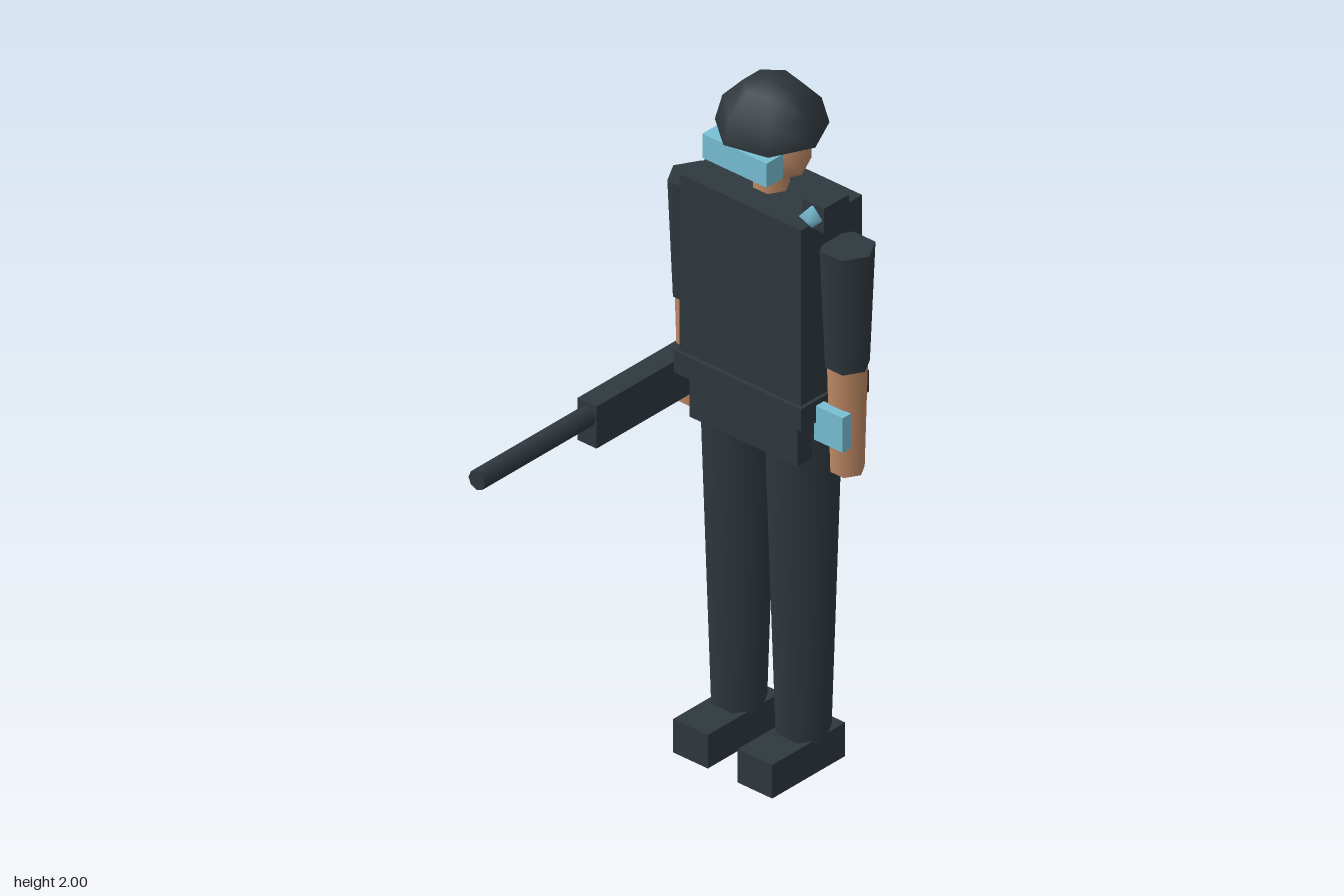
import * as THREE from 'three';

const Z = -0.345; // depth of the body's centre line

export function createModel() {
  const group = new THREE.Group();
  const makeMaterial = (name, color) => {
    const m = new THREE.MeshStandardMaterial({ color });
    m.name = name;
    return m;
  };
  const dark = makeMaterial('dark slate', 0x2f383e);
  const skin = makeMaterial('skin', 0xc08a65);
  const blue = makeMaterial('visor blue', 0x78bfd4);

  const add = (name, geometry, material, x = 0, y = 0, z = 0) => {
    const mesh = new THREE.Mesh(geometry, material);
    mesh.name = name;
    mesh.position.set(x, y, z);
    group.add(mesh);
    return mesh;
  };
  // Box given by its limits on each axis
  const box = (name, material, [x0, x1], [y0, y1], [z0, z1]) =>
    add(name, new THREE.BoxGeometry(x1 - x0, y1 - y0, z1 - z0), material,
      (x0 + x1) / 2, (y0 + y1) / 2, (z0 + z1) / 2);
  // Six-sided tapered limb with corners towards the sides
  const limb = (name, material, x, y0, y1, rBottom, rTop) =>
    add(name, new THREE.CylinderGeometry(rTop, rBottom, y1 - y0, 6).rotateY(Math.PI / 2),
      material, x, (y0 + y1) / 2, Z);
  // Coarse ball with a corner towards +x
  const ball = (r, sides, rings, arc = Math.PI) =>
    new THREE.SphereGeometry(r, sides, rings, 0, Math.PI * 2, 0, arc).rotateY(Math.PI);

  // Head, goggles and helmet
  limb('neck', skin, 0, 1.64, 1.74, 0.05, 0.05);
  add('head', ball(0.12, 7, 3), skin, 0, 1.81, Z);
  box('goggles', blue, [-0.11, 0.11], [1.778, 1.85], [-0.266, -0.204]);
  add('helmet', ball(0.15, 7, 3, Math.PI / 2), dark, 0, 1.85, Z);
  add('helmetBase', new THREE.CircleGeometry(0.15, 7).rotateX(Math.PI / 2), dark, 0, 1.85, Z);

  // Trunk
  box('torso', dark, [-0.207, 0.207], [1.1, 1.68], [-0.46, -0.226]);
  box('belt', dark, [-0.217, 0.217], [1.09, 1.155], [-0.475, -0.215]);
  box('pelvis', dark, [-0.184, 0.184], [0.96, 1.1], [-0.45, -0.238]);

  // Arms and legs
  for (const [side, s] of [['left', 1], ['right', -1]]) {
    limb(side + 'Sleeve', dark, s * 0.26, 1.25, 1.6, 0.06, 0.075);
    limb(side + 'Forearm', skin, s * 0.26, 0.936, 1.25, 0.046, 0.055);
    limb(side + 'Leg', dark, s * 0.11, 0.09, 1.03, 0.075, 0.105);
    box(side + 'Boot', dark, [s * 0.11 - 0.059, s * 0.11 + 0.059], [0, 0.1], [-0.438, -0.159]);
  }

  // Wrist pad on the left arm
  box('wristPad', blue, [0.21, 0.309], [1.037, 1.14], [-0.303, -0.272]);

  // Lamp on the left shoulder
  box('lampHousing', dark, [0.179, 0.252], [1.672, 1.745], [-0.36, -0.264]);
  add('lampLens', ball(0.034, 5, 2), blue, 0.215, 1.709, -0.26);

  // Rifle held in the right hand
  box('rifleBody', dark, [-0.294, -0.229], [0.985, 1.11], [-0.386, 0.067]);
  add('rifleBarrel', new THREE.CylinderGeometry(0.028, 0.028, 0.44, 8).rotateX(Math.PI / 2),
    dark, -0.26, 1.07, 0.27);

  return group;
}
